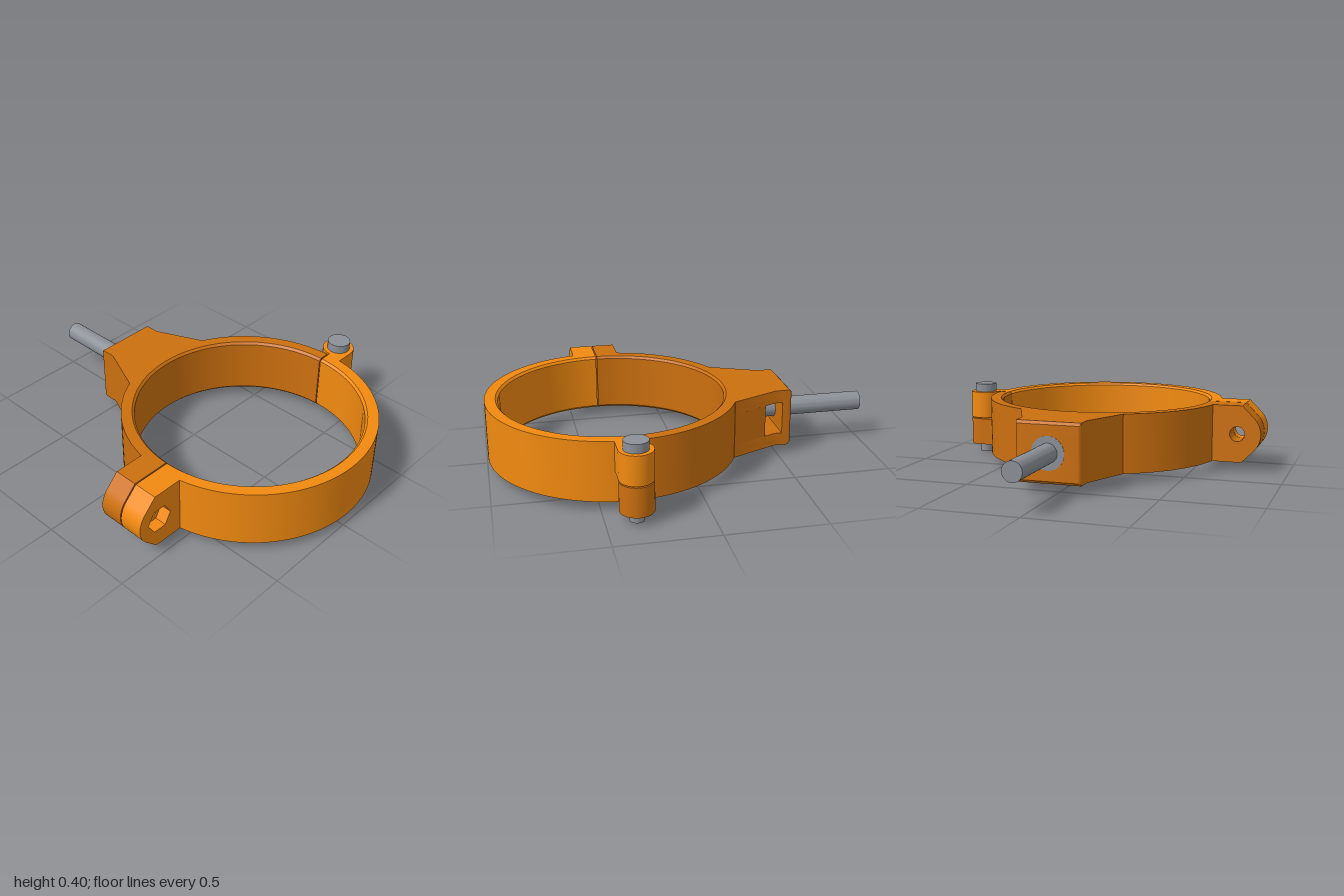
import * as THREE from 'three';
import { toCreasedNormals } from 'three/addons/utils/BufferGeometryUtils.js';

const CX = 0.35, CZ = -0.035;          // clamp ring axis
const Y0 = 0.05, Y1 = 0.355, YM = 0.2; // bottom, top and middle of the clamp
const GAP = 0.003;                     // half of the slit between the two jaws

const dark = new THREE.MeshStandardMaterial({ color: 0xcc700f });
const light = new THREE.MeshStandardMaterial({ color: 0xf28a10 });
const steel = new THREE.MeshStandardMaterial({ color: 0x8c9198 });

function add(group, name, geometry, material) {
  const mesh = new THREE.Mesh(toCreasedNormals(geometry, 0.5), material);
  mesh.name = name;
  group.add(mesh);
  return mesh;
}

function rod(group, name, r, y0, y1, x, z, material) {
  const g = new THREE.CylinderGeometry(r, r, y1 - y0, 40);
  return add(group, name, g.translate(x, (y0 + y1) / 2, z), material);
}

function rodX(group, name, r, x0, x1, y, z, material) {
  const g = new THREE.CylinderGeometry(r, r, x1 - x0, 40).rotateZ(Math.PI / 2);
  return add(group, name, g.translate((x0 + x1) / 2, y, z), material);
}

// Half ring with chamfered bore and closed ends
function halfRing(group, name, start, material) {
  const R = 0.645, r = 0.577, c = 0.012;
  const profile = [[r, Y0 + c], [r + c, Y0], [R, Y0], [R, Y1], [r + c, Y1], [r, Y1 - c], [r, Y0 + c]]
    .map(p => new THREE.Vector2(...p));
  const slit = GAP / 0.6, sweep = Math.PI - 2 * slit;
  const g = new THREE.LatheGeometry(profile, 64, start + slit, sweep);
  add(group, name, g.translate(CX, 0, CZ), material);
  for (const phi of [start + slit, start + slit + sweep]) {
    const cap = new THREE.ShapeGeometry(new THREE.Shape(profile.slice(0, -1)));
    const m = cap.rotateY(phi - Math.PI / 2).translate(CX, 0, CZ);
    add(group, name + 'End', m, material).material = endMaterial(material);
  }
}

function endMaterial(material) {
  const m = material.clone();
  m.side = THREE.DoubleSide;
  return m;
}

// Bolt lug slice: profile in z and y, extruded along x
function lug(group, name, x0, x1, holeRadius, sides, material) {
  const hz = 0.73, hy = 0.2025, tip = 0.125;
  const s = new THREE.Shape();
  s.moveTo(0.575, Y0);
  s.lineTo(0.755, Y0);
  s.absarc(hz, hy, tip, -Math.PI / 4, Math.PI / 4, false);
  s.lineTo(0.755, Y1);
  s.lineTo(0.575, Y1);
  s.closePath();
  const hole = [];
  for (let i = 0; i < sides; i++) {
    const a = -i / sides * Math.PI * 2;
    hole.push(new THREE.Vector2(hz + holeRadius * Math.cos(a), hy + holeRadius * Math.sin(a)));
  }
  s.holes.push(new THREE.Path(hole));
  const g = new THREE.ExtrudeGeometry(s, { depth: x1 - x0, bevelEnabled: false, curveSegments: 24 });
  add(group, name, g.rotateY(-Math.PI / 2).translate(x1, 0, 0), material);
}

// Tapered mount outline in x and z, optionally notched from the back for the nut
function mountShape(notched) {
  const s = new THREE.Shape(), e = 0.02, a = 0.44;
  const x = -0.57, zb = CZ - 0.167, zf = CZ + 0.167;
  s.moveTo(-0.235, CZ + 0.275);
  s.lineTo(-0.48, zf);
  s.lineTo(x + e, zf);
  s.quadraticCurveTo(x, zf, x, zf - e);
  s.lineTo(x, zb + e);
  s.quadraticCurveTo(x, zb, x + e, zb);
  if (notched) {
    s.lineTo(-0.52, zb);
    s.lineTo(-0.52, 0.06);
    s.lineTo(-0.42, 0.06);
    s.lineTo(-0.42, zb - 0.027);
  } else s.lineTo(-0.48, zb);
  s.lineTo(-0.235, CZ - 0.275);
  s.absarc(CX, CZ, 0.615, Math.PI + a, Math.PI - a, true);
  s.closePath();
  return s;
}

function mountLayer(group, y0, y1, notched, chamferY) {
  let g = new THREE.ExtrudeGeometry(mountShape(notched), { depth: y1 - y0, bevelEnabled: false, curveSegments: 10 });
  g.rotateX(Math.PI / 2).translate(0, y1, 0);
  // Ease the outer edge of the end face
  const p = g.attributes.position;
  for (let i = 0; i < p.count; i++) {
    if (chamferY !== undefined && Math.abs(p.getY(i) - chamferY) < 1e-4) p.setX(i, Math.max(p.getX(i), -0.556));
  }
  add(group, 'mountLayer', g, dark);
}

export function createModel() {
  const model = new THREE.Group();
  const jaws = { mountJaw: new THREE.Group(), outerJaw: new THREE.Group() };
  for (const [name, g] of Object.entries(jaws)) {
    g.name = name;
    model.add(g);
  }
  const { mountJaw, outerJaw } = jaws;

  // Two half rings
  halfRing(outerJaw, 'outerHalfRing', 0, light);
  halfRing(mountJaw, 'mountHalfRing', Math.PI, dark);

  // Closing lugs, with a hexagonal nut pocket on the outer one
  lug(mountJaw, 'mountLug', 0.225, CX - GAP, 0.04, 32, dark);
  lug(outerJaw, 'outerLug', CX + GAP, 0.415, 0.04, 32, light);
  lug(outerJaw, 'nutPocket', 0.415, 0.477, 0.07, 6, light);

  // Hinge knuckles: lower on the mount jaw, upper on the outer jaw
  const hz = -0.775, hr = 0.083;
  for (const [group, side, y0, y1, mat] of [
    [mountJaw, -1, Y0, YM, dark], [outerJaw, 1, YM + 0.006, Y1, light]]) {
    rod(group, 'hingeKnuckle', hr, y0, y1, CX, hz, mat);
    const neck = new THREE.BoxGeometry(hr - GAP, y1 - y0, 0.13);
    neck.translate(CX + side * (hr + GAP) / 2, (y0 + y1) / 2, hz + 0.065);
    add(group, 'hingeNeck', neck, mat);
  }

  // Hinge bolt
  rod(model, 'hingeBoltShank', 0.036, 0, Y1, CX, hz, steel);
  rod(model, 'hingeBoltHead', 0.06, Y1, 0.4, CX, hz, steel);

  // Tapered mount with a nut slot open to the back
  mountLayer(mountJaw, Y0, Y0 + 0.014, false, Y0);
  mountLayer(mountJaw, Y0 + 0.014, 0.118, false);
  mountLayer(mountJaw, 0.118, 0.287, true);
  mountLayer(mountJaw, 0.287, Y1 - 0.014, false);
  mountLayer(mountJaw, Y1 - 0.014, Y1, false, Y1);

  // Mounting rod with its collar in the end face
  rodX(model, 'mountRod', 0.05, -1, -0.44, 0.2025, CZ, steel);
  rodX(model, 'rodCollar', 0.085, -0.572, -0.53, 0.2025, CZ, steel);

  return model;
}
